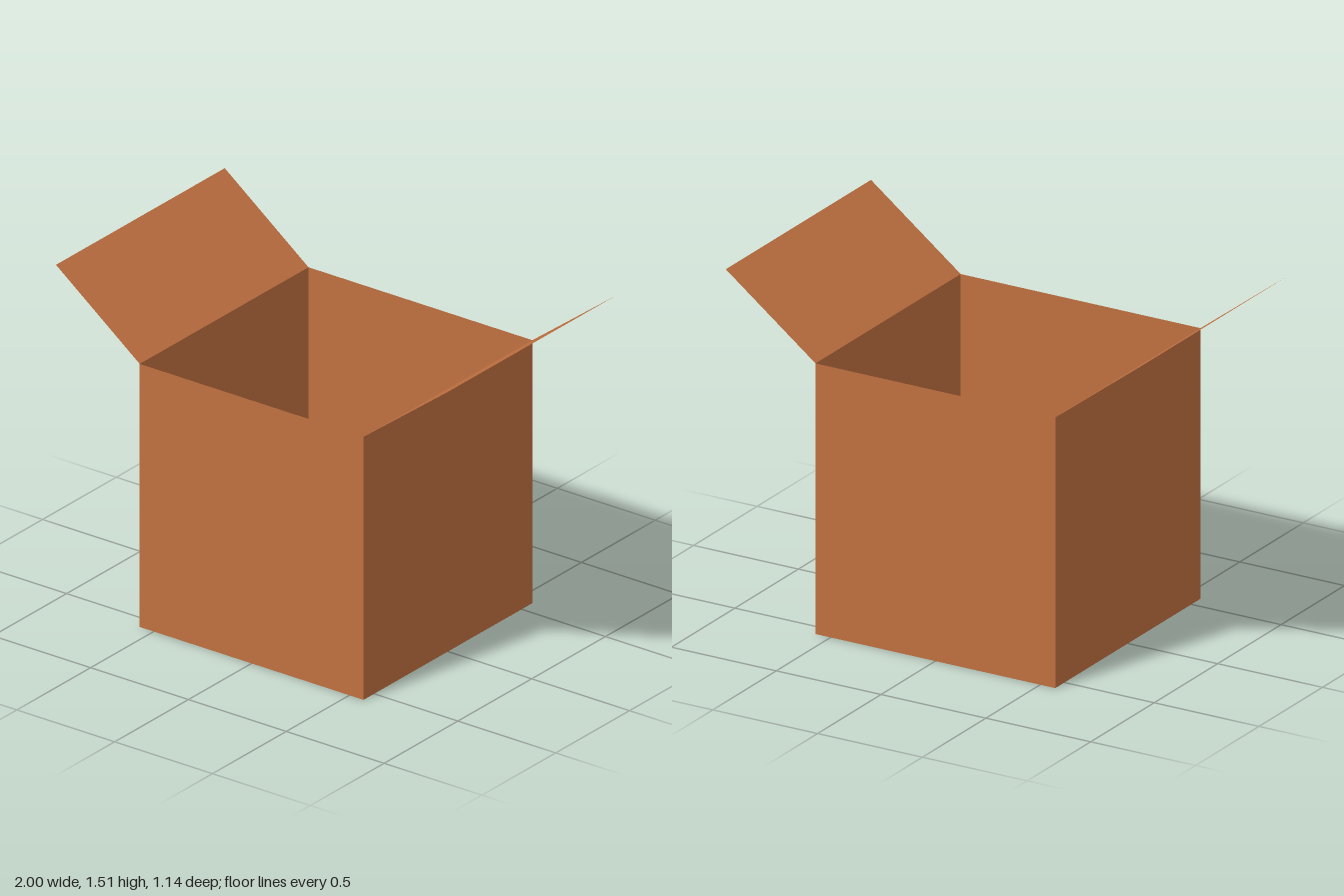
import * as THREE from 'three';

const HALF = 0.572, HEIGHT = 1.19;
const FLAP_OUT = 1 - HALF, FLAP_UP = 0.325;

export function createModel() {
  const box = new THREE.Group();
  box.name = 'openCardboardBox';
  const cardboard = new THREE.MeshStandardMaterial({ color: 0xc07040, side: THREE.DoubleSide });
  cardboard.name = 'cardboard';

  const addSheet = (name, geometry) => {
    const mesh = new THREE.Mesh(geometry, cardboard);
    mesh.name = name;
    box.add(mesh);
    return mesh;
  };

  // Floor sheet, facing down
  addSheet('floor', new THREE.PlaneGeometry(HALF * 2, HALF * 2).rotateX(Math.PI / 2));

  // Four thin walls, turned around the centre
  ['frontWall', 'leftWall', 'backWall', 'rightWall'].forEach((name, i) => {
    const wall = new THREE.PlaneGeometry(HALF * 2, HEIGHT).translate(0, HEIGHT / 2, HALF);
    addSheet(name, wall.rotateY(i * Math.PI / 2));
  });

  // Two raised flaps hinged on the left and right rims
  const flapLength = Math.hypot(FLAP_OUT, FLAP_UP);
  const flapAngle = Math.atan2(FLAP_UP, FLAP_OUT);
  ['leftFlap', 'rightFlap'].forEach((name, i) => {
    const flap = new THREE.PlaneGeometry(flapLength, HALF * 2)
      .rotateX(-Math.PI / 2)
      .translate(flapLength / 2, 0, 0)
      .rotateZ(flapAngle)
      .translate(HALF, HEIGHT, 0);
    addSheet(name, flap.rotateY(i * Math.PI));
  });

  return box;
}
